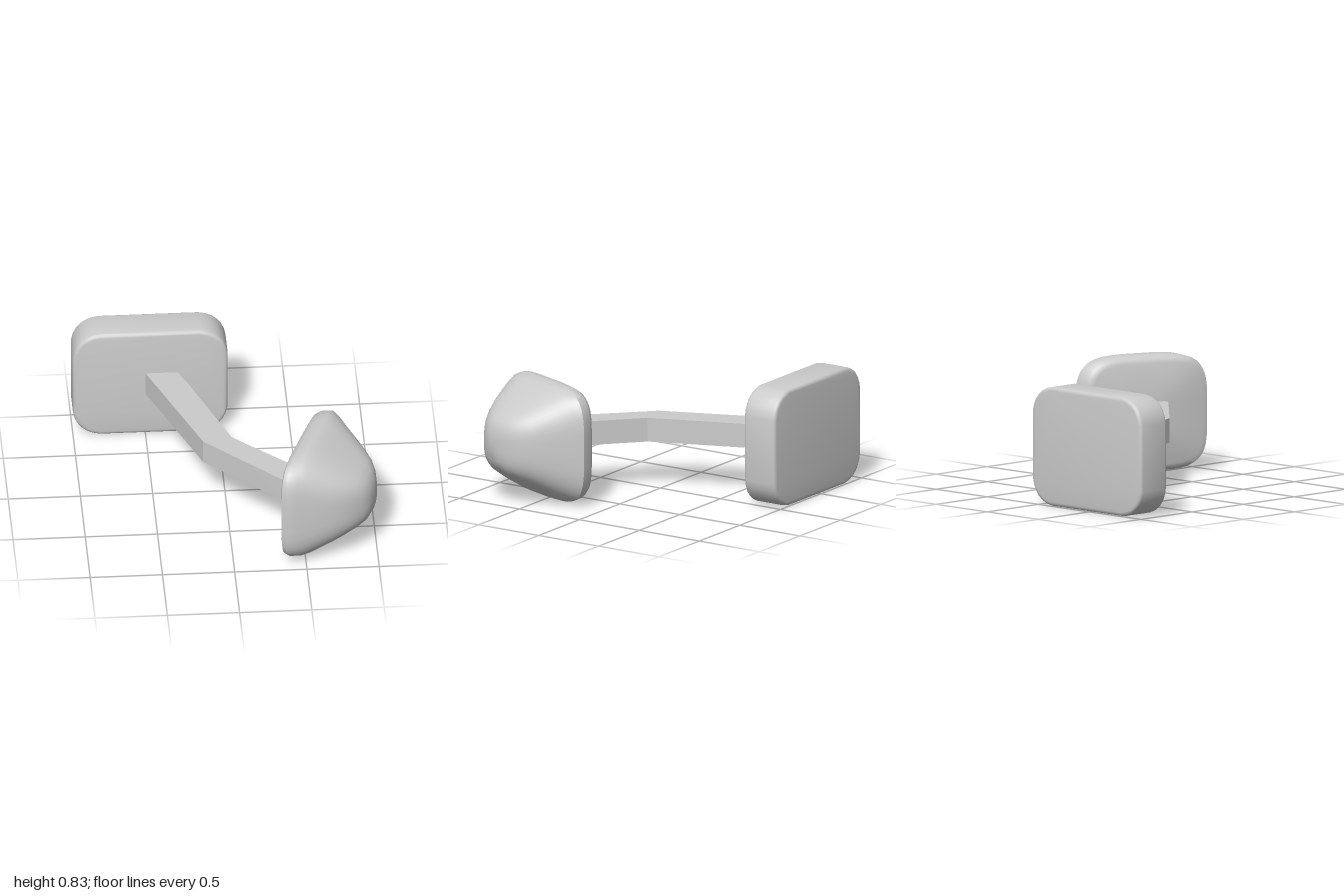
import * as THREE from 'three';
import { toCreasedNormals } from 'three/addons/utils/BufferGeometryUtils.js';

const material = new THREE.MeshStandardMaterial({ color: 0xcccccc });

function addPart(group, name, geometry, crease = 0.6) {
  const mesh = new THREE.Mesh(toCreasedNormals(geometry, crease), material);
  mesh.name = name;
  group.add(mesh);
}

// Upright rounded plate with softened rims
function plateGeometry() {
  const b = 0.025, x0 = -1 + b, x1 = 0.07 - b, y0 = b, y1 = 0.83 - b, r = 0.165;
  const s = new THREE.Shape();
  s.moveTo(x0 + r, y0);
  s.lineTo(x1 - r, y0);
  s.quadraticCurveTo(x1 - 0.02, y0 + 0.02, x1, y0 + r);
  s.lineTo(x1, y1 - r);
  s.quadraticCurveTo(x1 - 0.02, y1 - 0.02, x1 - r, y1);
  s.lineTo(x0 + r, y1);
  s.quadraticCurveTo(x0 + 0.02, y1 - 0.02, x0, y1 - r);
  s.lineTo(x0, y0 + r);
  s.quadraticCurveTo(x0 + 0.02, y0 + 0.02, x0 + r, y0);
  const g = new THREE.ExtrudeGeometry(s, {
    depth: 0.26 - 2 * b, bevelEnabled: true, bevelSize: b, bevelThickness: b, bevelSegments: 3, curveSegments: 6,
  });
  return g.translate(0, 0, -1 + b);
}

// Bent flat-sided arm, outlined from above as x, z
function armGeometry() {
  const outline = [
    [-0.51, -0.77], [-0.29, -0.77], [-0.2, -0.56], [0.04, 0.08], [0.44, 0.45],
    [0.6, 0.46], [0.56, 0.66], [0.4, 0.66], [0.35, 0.62], [-0.16, 0.12], [-0.21, -0.01],
  ].map(([x, z]) => new THREE.Vector2(x, z));
  const g = new THREE.ExtrudeGeometry(new THREE.Shape(outline), { depth: 0.17, bevelEnabled: false });
  return g.rotateX(Math.PI / 2).translate(0, 0.5, 0);
}

// Domed housing: rounded sections stacked outward from its slanted flat face
function housingGeometry() {
  // distance from face, start and end along face, half height, squareness
  const sections = [
    [0, 0.445, 0.446, 0.001, 4],
    [0, 0.04, 0.87, 0.355, 4.5],
    [0.015, 0.005, 0.91, 0.385, 4.5],
    [0.05, -0.025, 0.918, 0.405, 4.3],
    [0.115, -0.045, 0.89, 0.415, 4],
    [0.17, -0.01, 0.862, 0.395, 3.8],
    [0.23, 0.035, 0.833, 0.36, 3.6],
    [0.32, 0.1, 0.782, 0.305, 3.4],
    [0.4, 0.16, 0.725, 0.252, 3.2],
    [0.46, 0.218, 0.665, 0.212, 3],
    [0.505, 0.29, 0.607, 0.172, 2.8],
    [0.535, 0.36, 0.55, 0.115, 2.5],
    [0.55, 0.455, 0.456, 0.001, 2],
  ];
  const along = new THREE.Vector2(-0.36, 0.933), out = new THREE.Vector2(0.933, 0.36);
  const sides = 48, positions = [], index = [];
  const round = (v, p) => Math.sign(v) * Math.abs(v) ** (2 / p);
  for (const [n, u0, u1, h, p] of sections) {
    for (let j = 0; j < sides; j++) {
      const a = ((j + 0.5) / sides) * Math.PI * 2;
      const u = (u0 + u1) / 2 + ((u1 - u0) / 2) * round(Math.cos(a), p);
      const y = 0.415 - h * round(Math.sin(a), p);
      positions.push(0.64 + along.x * u + out.x * n, y, 0.12 + along.y * u + out.y * n);
    }
  }
  for (let i = 0; i < sections.length - 1; i++) {
    for (let j = 0; j < sides; j++) {
      const k = (j + 1) % sides;
      const a = i * sides + j, b = i * sides + k, c = b + sides, d = a + sides;
      index.push(a, b, c, a, c, d);
    }
  }
  const g = new THREE.BufferGeometry();
  g.setAttribute('position', new THREE.Float32BufferAttribute(positions, 3));
  g.setIndex(index);
  return g;
}

export function createModel() {
  const group = new THREE.Group();
  group.name = 'bracketedHousing';
  addPart(group, 'plate', plateGeometry());
  addPart(group, 'arm', armGeometry(), 0.35);
  addPart(group, 'housing', housingGeometry(), 0.75);
  return group;
}
